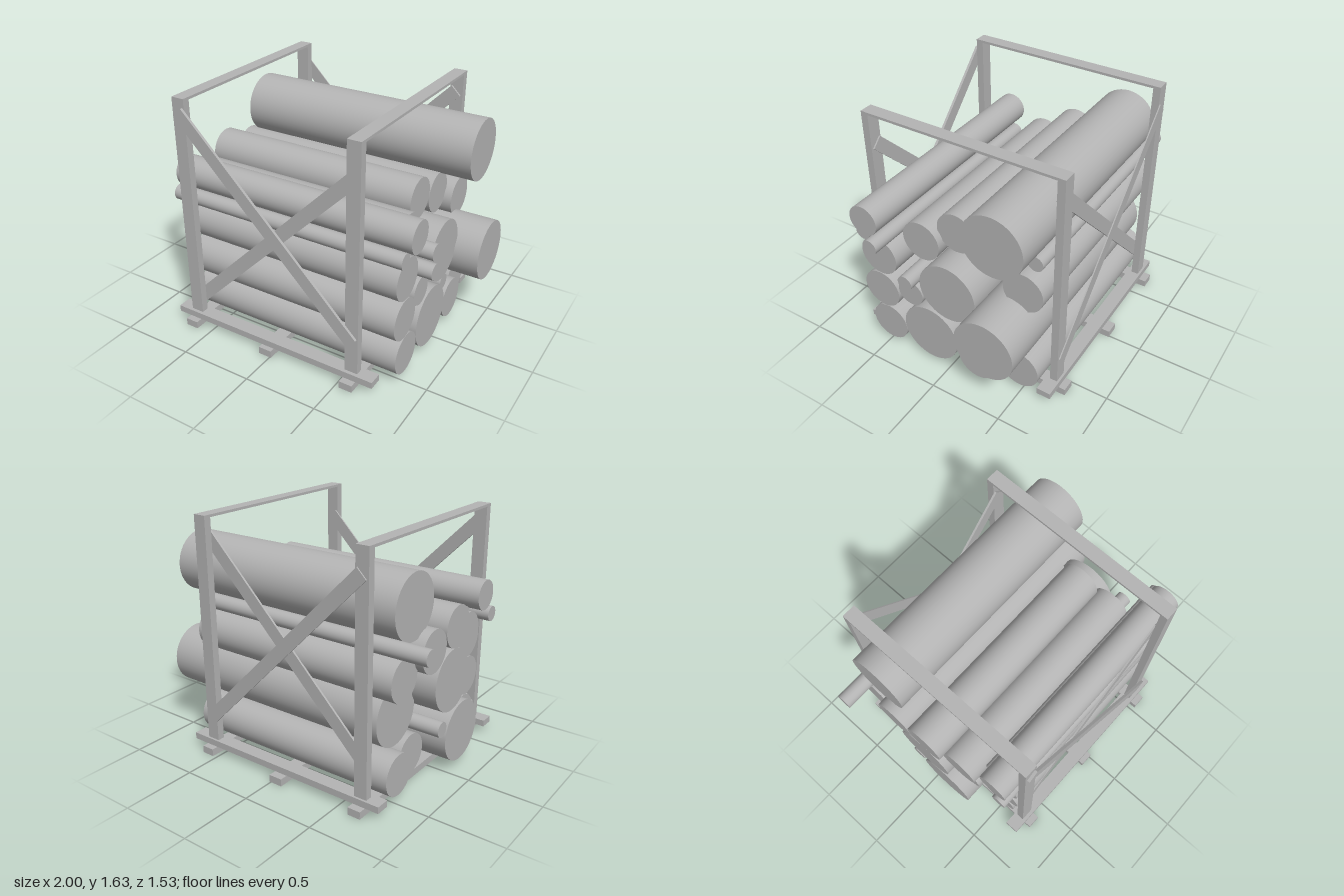
import * as THREE from 'three';

export function createModel() {
  const model = new THREE.Group();
  model.name = 'logRack';
  const grey = new THREE.MeshStandardMaterial({ color: 0xb4b4b4 });
  grey.name = 'plain grey';

  const add = (parent, name, geometry, x, y, z) => {
    const mesh = new THREE.Mesh(geometry, grey);
    mesh.name = name;
    mesh.position.set(x, y, z);
    parent.add(mesh);
    return mesh;
  };
  // Box given by its min and max corners
  const box = (name, x0, x1, y0, y1, z0, z1) => add(frame, name,
    new THREE.BoxGeometry(x1 - x0, y1 - y0, z1 - z0), (x0 + x1) / 2, (y0 + y1) / 2, (z0 + z1) / 2);

  const frame = new THREE.Group();
  frame.name = 'frame';
  model.add(frame);

  // Ground runners and long sills
  box('runner', -0.69, -0.6, 0, 0.05, -0.765, 0.765);
  box('runner', -0.085, 0.01, 0, 0.05, -0.77, 0.755);
  box('runner', 0.53, 0.62, 0, 0.05, -0.76, 0.765);
  box('frontSill', -0.785, 0.735, 0.05, 0.095, 0.625, 0.72);
  box('backSill', -0.785, 0.735, 0.05, 0.095, -0.715, -0.62);

  // Posts with a thin bar across each pair
  for (const x of [-0.645, 0.575]) {
    box('frontPost', x - 0.045, x + 0.045, 0.095, 1.62, 0.647, 0.697);
    box('backPost', x - 0.045, x + 0.045, 0.095, 1.62, -0.7, -0.65);
    box('topBar', x - 0.045, x + 0.045, 1.618, 1.635, -0.7, 0.697);
  }

  // Diagonal braces: start and end of the centre line, z and thickness
  const brace = (name, x0, y0, x1, y1, z, thick) => {
    const geometry = new THREE.BoxGeometry(Math.hypot(x1 - x0, y1 - y0), 0.09, thick);
    add(frame, name, geometry, (x0 + x1) / 2, (y0 + y1) / 2, z)
      .rotation.z = Math.atan2(y1 - y0, x1 - x0);
  };
  brace('frontOuterBrace', -0.645, 1.545, 0.58, 0.32, 0.706, 0.018);
  brace('frontInnerBrace', -0.645, 0.18, 0.575, 1.41, 0.642, 0.01);
  brace('backOuterBrace', -0.645, 1.48, 0.575, 0.255, -0.704, 0.008);
  brace('backInnerBrace', -0.645, 0.28, 0.575, 1.505, -0.643, 0.014);

  // Logs: z, y, radius, left end x, right end x
  const logs = new THREE.Group();
  logs.name = 'logs';
  model.add(logs);
  const logData = [
    [0.52, 1.065, 0.104, -0.785, 0.905],
    [0.585, 0.922, 0.052, -0.805, 0.855],
    [0.43, 0.94, 0.052, -0.69, 0.97],
    [0.497, 0.75, 0.138, -0.69, 0.83],
    [0.246, 0.89, 0.138, -0.81, 0.71],
    [0.248, 0.682, 0.053, -0.77, 0.895],
    [0.274, 0.536, 0.096, -0.77, 0.82],
    [0.505, 0.469, 0.138, -0.69, 0.83],
    [0.468, 0.193, 0.138, -0.69, 0.83],
    [0.127, 0.262, 0.207, -0.86, 0.83],
    [-0.127, 0.371, 0.052, -0.86, 0.8],
    [-0.227, 0.193, 0.138, -0.7, 0.82],
    [-0.49, 0.2, 0.138, -0.78, 0.74],
    [-0.4, 0.538, 0.207, -0.69, 1.0],
    [-0.026, 0.674, 0.207, -0.86, 0.83],
    [0.011, 1.015, 0.138, -0.86, 0.66],
    [-0.263, 0.94, 0.138, -0.86, 0.66],
    [-0.5, 0.827, 0.138, -0.805, 0.715],
    [-0.402, 1.242, 0.207, -0.8, 0.89],
    [-0.549, 1.03, 0.052, -1.0, 0.66],
  ];
  for (const [z, y, r, x0, x1] of logData) {
    const geometry = new THREE.CylinderGeometry(r, r, x1 - x0, 48).rotateZ(Math.PI / 2);
    add(logs, 'log', geometry, (x0 + x1) / 2, y, z);
  }

  return model;
}
